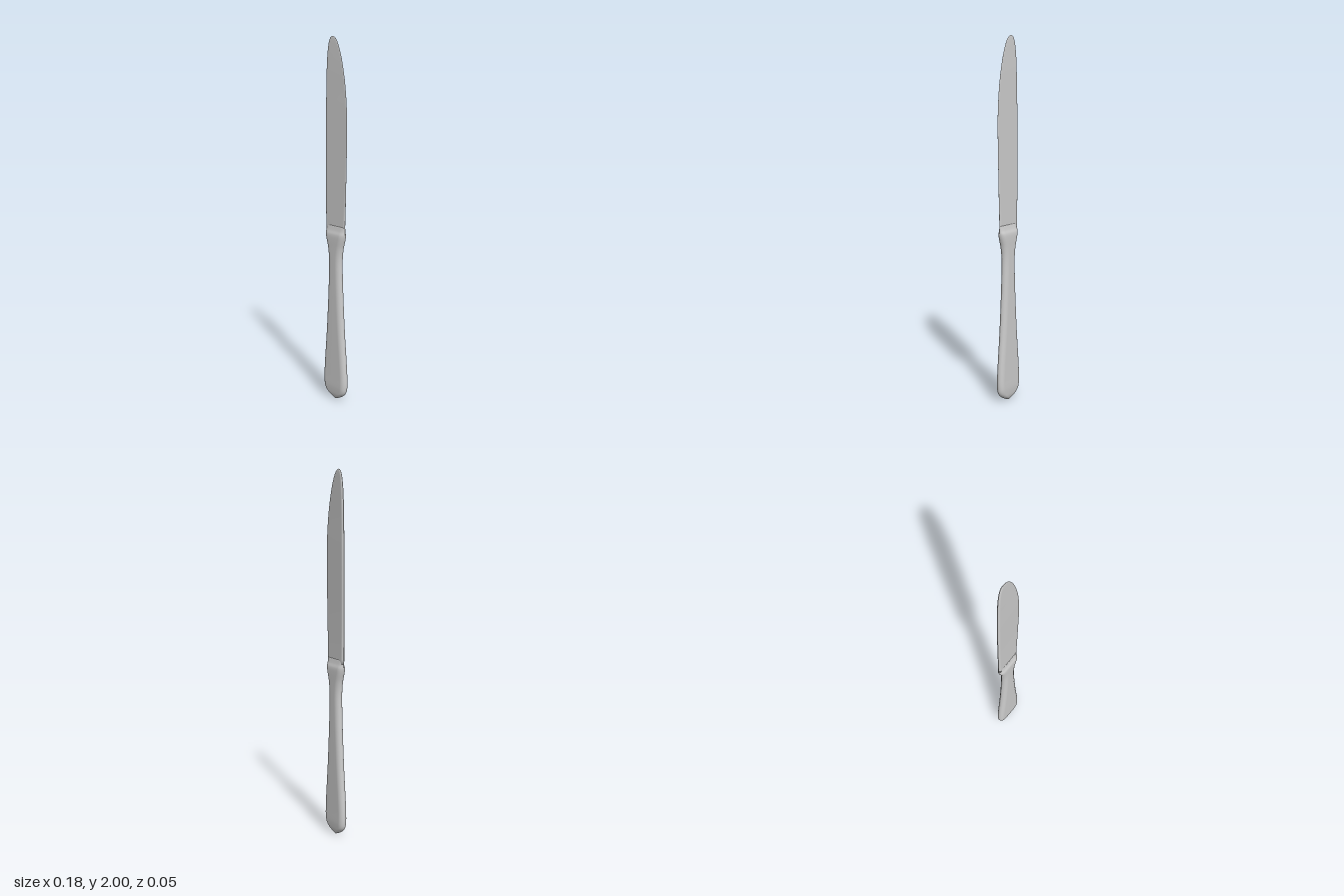
import * as THREE from 'three';

const material = new THREE.MeshStandardMaterial({ color: 0xcccccc });

// Smoothly interpolate rows of numbers, keeping the first value (height) even
function refine(rows, steps) {
  const out = [];
  for (let i = 0; i < rows.length - 1; i++) {
    const a = rows[Math.max(i - 1, 0)], b = rows[i], c = rows[i + 1];
    const d = rows[Math.min(i + 2, rows.length - 1)];
    for (let s = 0; s < steps; s++) {
      const t = s / steps, t2 = t * t, t3 = t2 * t, h = c[0] - b[0];
      out.push(b.map((v, k) => {
        if (k === 0) return v + h * t;
        const m0 = ((c[k] - a[k]) / (c[0] - a[0])) * h;
        const m1 = ((d[k] - v) / (d[0] - b[0])) * h;
        return (2 * t3 - 3 * t2 + 1) * v + (t3 - 2 * t2 + t) * m0
          + (3 * t2 - 2 * t3) * c[k] + (t3 - t2) * m1;
      }));
    }
  }
  out.push(rows[rows.length - 1]);
  return out;
}

// Loft rounded flat sections; each row is [y, xMin, xMax, half thickness at xMin, at xMax]
function loft(name, rows, corner) {
  const arc = 5, count = 4 * (arc + 1), pos = [], index = [];
  const rings = refine(rows, 5);
  for (const [y, x0, x1, z0, z1] of rings) {
    const half = (x1 - x0) / 2, mid = (x0 + x1) / 2, r = Math.min(corner, half * 0.95);
    for (let q = 0; q < 4; q++) {
      const side = q === 0 || q === 3 ? 1 : -1;
      for (let s = 0; s <= arc; s++) {
        const angle = (q + s / arc) * Math.PI / 2;
        const x = side * (half - r) + r * Math.cos(angle);
        const z = THREE.MathUtils.lerp(z0, z1, (x + half) / (2 * half));
        pos.push(mid + x, y, z * Math.sin(angle));
      }
    }
  }
  for (let i = 0; i < rings.length - 1; i++) {
    for (let j = 0; j < count; j++) {
      const a = i * count + j, b = i * count + (j + 1) % count;
      index.push(a, a + count, b, b, a + count, b + count);
    }
  }
  // End caps
  const last = (rings.length - 1) * count, bottom = pos.length / 3, top = bottom + 1;
  for (const ring of [rings[0], rings[rings.length - 1]]) pos.push((ring[1] + ring[2]) / 2, ring[0], 0);
  for (let j = 0; j < count; j++) {
    const k = (j + 1) % count;
    index.push(bottom, j, k, top, last + k, last + j);
  }
  const geometry = new THREE.BufferGeometry();
  geometry.setAttribute('position', new THREE.Float32BufferAttribute(pos, 3));
  geometry.setIndex(index);
  geometry.computeVertexNormals();
  const mesh = new THREE.Mesh(geometry, material);
  mesh.name = name;
  return mesh;
}

export function createModel() {
  const group = new THREE.Group();
  group.name = 'tableKnife';

  // Handle with rounded butt, narrow neck and a shoulder: [y, half width, half thickness]
  const handle = [
    [0, 0.006, 0.005], [0.01, 0.028, 0.012], [0.028, 0.058, 0.018], [0.05, 0.079, 0.021],
    [0.08, 0.087, 0.023], [0.13, 0.088, 0.023], [0.22, 0.082, 0.023], [0.4, 0.066, 0.023],
    [0.6, 0.053, 0.023], [0.74, 0.047, 0.023], [0.82, 0.047, 0.023], [0.88, 0.055, 0.023],
    [0.93, 0.069, 0.023], [0.955, 0.074, 0.021], [0.975, 0.074, 0.014], [1.0, 0.074, 0.008],
  ].map(([y, w, t]) => [y, -w, w, t, t]);
  group.add(loft('handle', handle, 0.03));

  // Blade with a straight thick spine on one side and a curved thin edge on the other
  group.add(loft('blade', [
    [0.98, -0.075, 0.073, 0.009, 0.006], [1.1, -0.076, 0.078, 0.009, 0.004],
    [1.3, -0.077, 0.084, 0.009, 0.002], [1.5, -0.076, 0.088, 0.009, 0.002],
    [1.62, -0.075, 0.086, 0.009, 0.002], [1.74, -0.072, 0.075, 0.008, 0.002],
    [1.84, -0.069, 0.057, 0.008, 0.002], [1.91, -0.064, 0.038, 0.007, 0.002],
    [1.96, -0.056, 0.018, 0.006, 0.002], [1.985, -0.047, 0.002, 0.005, 0.002],
    [1.996, -0.038, -0.012, 0.003, 0.002], [2.0, -0.029, -0.022, 0.001, 0.001],
  ], 0.012));

  return group;
}
